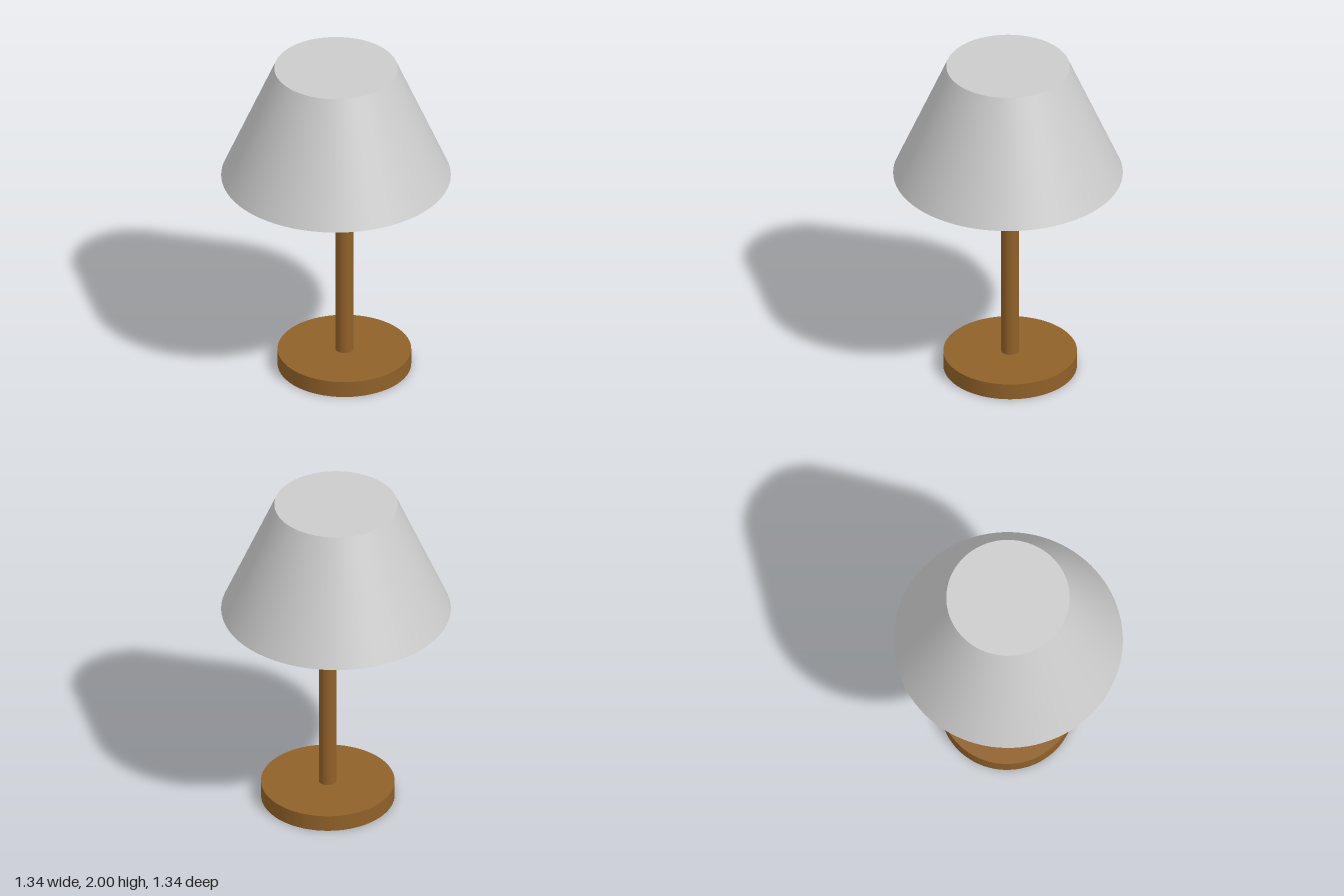
import * as THREE from 'three';
import { mergeGeometries } from 'three/addons/utils/BufferGeometryUtils.js';

const SEGMENTS = 96;

// Revolves a profile one strip at a time, so every corner stays sharp
function revolveSharp(profile) {
  const strips = [];
  for (let i = 0; i < profile.length - 1; i++) {
    const ends = [profile[i], profile[i + 1]].map(([r, y]) => new THREE.Vector2(r, y));
    strips.push(new THREE.LatheGeometry(ends, SEGMENTS));
  }
  return mergeGeometries(strips);
}

export function createModel() {
  const grey = new THREE.MeshStandardMaterial({ color: 0xcccccc });
  const wood = new THREE.MeshStandardMaterial({ color: 0x906128 });
  const lamp = new THREE.Group();
  lamp.name = 'tableLamp';

  function add(name, geometry, material, x, y) {
    const mesh = new THREE.Mesh(geometry, material);
    mesh.name = name;
    mesh.position.set(x, y, 0);
    lamp.add(mesh);
  }

  // Base and stem stand slightly off the shade's axis
  const standX = 0.05;
  const baseHeight = 0.1;
  const ceiling = 1.73;

  // Round foot with a grey underside
  add('base', new THREE.CylinderGeometry(0.39, 0.39, baseHeight, SEGMENTS),
    [wood, wood, grey], standX, baseHeight / 2);

  // Stem runs from the foot up into the shade
  const stemHeight = ceiling - baseHeight;
  add('stem', new THREE.CylinderGeometry(0.052, 0.052, stemHeight, 48),
    wood, standX, baseHeight + stemHeight / 2);

  // Thick shade: inner ceiling, inner wall, bottom rim, outer wall, closed top
  add('shade', revolveSharp([
    [0, ceiling], [0.32, ceiling], [0.6, 1.28], [0.67, 1.28], [0.36, 2], [0, 2],
  ]), grey, 0, 0);

  return lamp;
}
